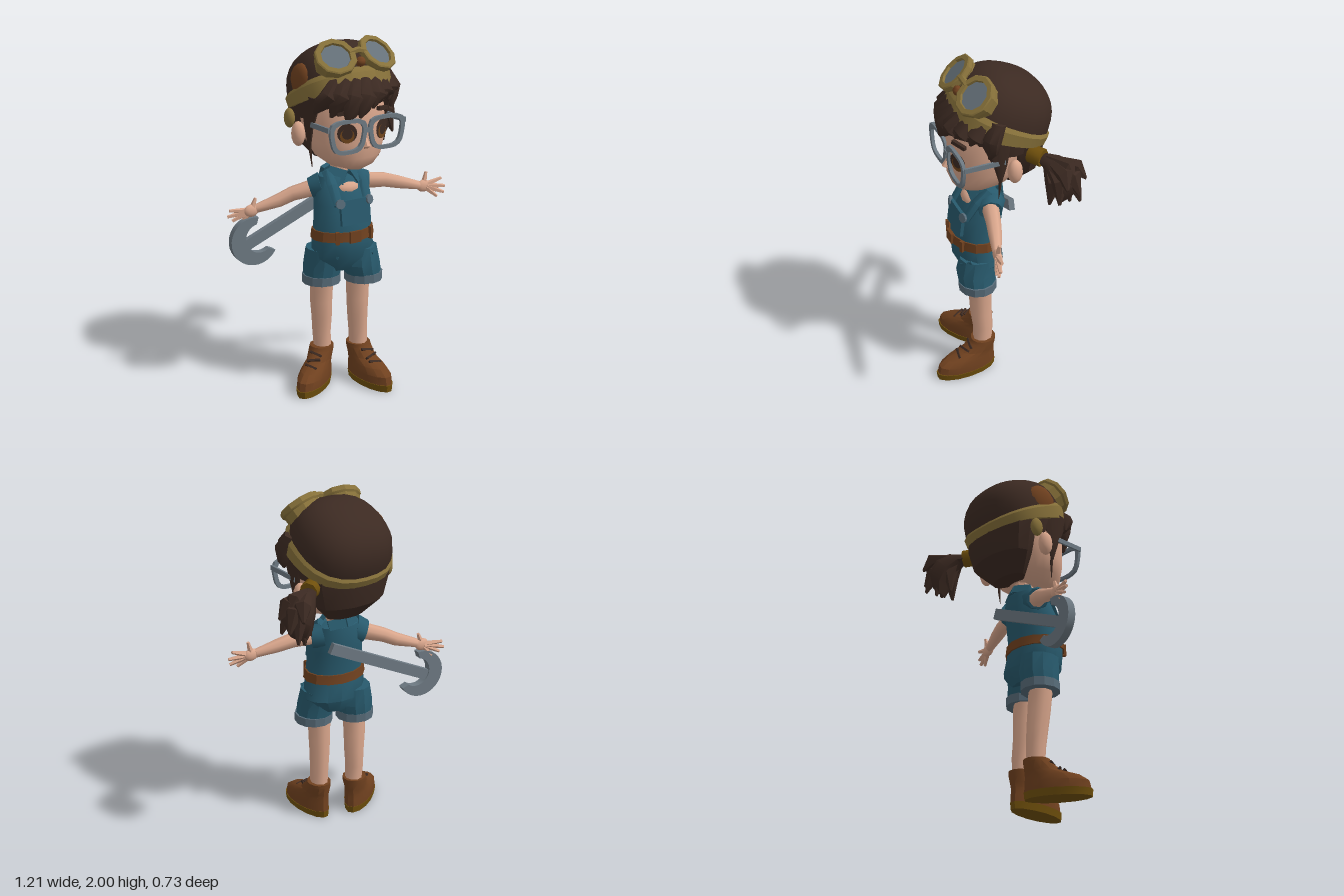
import * as THREE from 'three';
import { toCreasedNormals } from 'three/addons/utils/BufferGeometryUtils.js';

const mat = (name, color) => Object.assign(new THREE.MeshStandardMaterial({ color }), { name });
const V = (x, y, z) => new THREE.Vector3(x, y, z);

export function createModel() {
  const root = new THREE.Group();
  root.name = 'girlMechanic';
  const skin = mat('skin', 0xd9a68c), hair = mat('darkBrown', 0x3c2a22), teal = mat('denim', 0x285a6d),
    cuff = mat('paleDenim', 0x586c79), leather = mat('leather', 0x70411f), gold = mat('ochre', 0x70500c),
    olive = mat('olive', 0x87713a), metal = mat('metal', 0x6d7982), lens = mat('lensGrey', 0x66717a),
    iris = mat('eyeBrown', 0x70451c);

  const add = (name, geo, m, parent = root, crease = 0.5) => {
    const mesh = new THREE.Mesh(toCreasedNormals(geo, crease), m);
    mesh.name = name;
    parent.add(mesh);
    return mesh;
  };
  const group = (name) => { const g = new THREE.Group(); g.name = name; root.add(g); return g; };

  // Skin over rings [x, y, z, rx, rz]; rings are level, or square to the path when along is set
  const loft = (rows, n = 12, along = false) => {
    const first = V(...rows[0]), last = V(...rows[rows.length - 1]);
    const q = new THREE.Quaternion();
    if (along) q.setFromUnitVectors(V(0, 1, 0), last.clone().sub(first).normalize());
    const pos = [], idx = [];
    for (const [x, y, z, rx, rz = rx] of rows) for (let i = 0; i < n; i++) {
      const a = i / n * Math.PI * 2;
      const p = V(Math.cos(a) * rx, 0, Math.sin(a) * rz).applyQuaternion(q);
      pos.push(p.x + x, p.y + y, p.z + z);
    }
    for (let k = 0; k < rows.length - 1; k++) for (let i = 0; i < n; i++) {
      const a = k * n + i, b = k * n + (i + 1) % n;
      idx.push(a, a + n, b, b, a + n, b + n);
    }
    const c = rows.length * n;
    pos.push(first.x, first.y, first.z, last.x, last.y, last.z);
    for (let i = 0; i < n; i++) {
      const j = (i + 1) % n;
      idx.push(c, i, j, c + 1, c - n + j, c - n + i);
    }
    const g = new THREE.BufferGeometry();
    g.setAttribute('position', new THREE.Float32BufferAttribute(pos, 3));
    g.setIndex(idx);
    return g;
  };
  const limb = (name, rows, m, n = 8, crease = 0.9) => add(name, loft(rows, n, true), m, root, crease);
  const blob = (name, x, y, z, rx, ry, rz, m) =>
    add(name, new THREE.SphereGeometry(1, 12, 8).scale(rx, ry, rz).translate(x, y, z), m, root, 0.8);
  const box = (name, x, y, z, w, h, d, m, rot = [0, 0, 0], parent = root) => {
    const b = add(name, new THREE.BoxGeometry(w, h, d), m, parent);
    b.position.set(x, y, z); b.rotation.set(...rot);
    return b;
  };

  // Boots, toe along local +z
  for (const [side, x, z, turn] of [['right', -0.072, -0.045, -0.95], ['left', 0.078, 0, 0.06]]) {
    const boot = group(side + 'Boot');
    boot.position.set(x, 0, z); boot.rotation.y = turn;
    add('sole', loft([[0, 0, 0.178, 0.072, 0.184], [0, 0.04, 0.178, 0.08, 0.188]], 14), gold, boot);
    add('upper', loft([[0, 0.04, 0.176, 0.077, 0.183], [0, 0.085, 0.172, 0.079, 0.177], [0, 0.12, 0.148, 0.072, 0.15],
      [0, 0.15, 0.1, 0.066, 0.104], [0, 0.2, 0.068, 0.07, 0.078], [0, 0.22, 0.063, 0.068, 0.074]], 14), leather, boot);
    for (let i = 0; i < 3; i++)
      box('lace', 0, 0.138 + i * 0.025, 0.222 - i * 0.036, 0.075, 0.012, 0.02, hair, [-0.8, 0, i % 2 ? 0.25 : -0.25], boot);
  }

  // Legs, short legs and turn-ups
  limb('rightLeg', [[-0.115, 0.19, -0.01, 0.05, 0.052], [-0.122, 0.3, -0.012, 0.052, 0.057], [-0.125, 0.4, -0.005, 0.058, 0.062], [-0.132, 0.5, 0.002, 0.064], [-0.135, 0.66, 0.015, 0.068]], skin, 9);
  limb('leftLeg', [[0.08, 0.19, 0.065, 0.05, 0.057], [0.078, 0.3, 0.063, 0.053, 0.06], [0.07, 0.4, 0.07, 0.057, 0.065], [0.068, 0.5, 0.073, 0.063, 0.067], [0.066, 0.66, 0.08, 0.068]], skin, 9);
  for (const [side, x, z, inner] of [['right', -0.135, 0.01, 0.01], ['left', 0.09, 0.1, -0.02]]) {
    add(side + 'ShortLeg', loft([[x, 0.64, z, 0.103, 0.105], [x + inner, 0.72, z, 0.11, 0.115], [x + inner, 0.82, z + inner, 0.097, 0.115]]), teal);
    add(side + 'TurnUp', loft([[x, 0.615, z, 0.11, 0.11], [x, 0.665, z, 0.109, 0.111]]), cuff);
  }

  // Dungarees, bib, belt
  add('dungarees', loft([[-0.02, 0.7, 0.05, 0.13, 0.09], [-0.02, 0.78, 0.055, 0.19, 0.14], [-0.03, 0.88, 0.065, 0.182, 0.138],
    [-0.03, 0.95, 0.065, 0.172, 0.135], [-0.025, 1.08, 0.05, 0.162, 0.138], [-0.02, 1.17, 0.02, 0.15, 0.115],
    [-0.015, 1.23, 0.01, 0.13, 0.095], [-0.01, 1.25, 0.01, 0.08, 0.07]], 14), teal, root, 0.7);
  add('belt', loft([[-0.03, 0.888, 0.065, 0.19, 0.147], [-0.03, 0.942, 0.065, 0.182, 0.143]], 14), leather);
  box('beltBuckle', -0.04, 0.915, 0.212, 0.07, 0.065, 0.015, leather);
  for (const x of [-0.14, 0.08]) box('beltLoop', x, 0.915, 0.187, 0.02, 0.07, 0.02, leather, [0, x < 0 ? -0.4 : 0.4, 0]);
  box('bib', -0.02, 1.05, 0.18, 0.19, 0.14, 0.02, teal, [-0.12, 0, 0]);
  blob('chest', -0.02, 1.165, 0.08, 0.085, 0.05, 0.065, skin);
  for (const s of [-1, 1]) {
    const button = add('strapButton', new THREE.CylinderGeometry(0.027, 0.027, 0.015, 10), cuff);
    button.position.set(-0.02 + s * 0.095, 1.105, 0.178); button.rotation.set(1.35, 0, -s * 0.3);
    limb('strap', [[-0.02 + s * 0.095, 1.09, 0.16, 0.03, 0.02], [-0.015 + s * 0.1, 1.19, 0.1, 0.035, 0.025], [-0.01 + s * 0.09, 1.25, 0.02, 0.035, 0.03]], teal, 6);
    box('collar', -0.01 + s * 0.06, 1.235, 0.07, 0.1, 0.085, 0.025, teal, [-0.6, s * 0.5, s * 0.6]);
    box('collarBack', -0.01 + s * 0.045, 1.25, -0.055, 0.1, 0.055, 0.025, teal, [0.4, -s * 0.4, 0]);
    box('hipPocket', -0.02 + s * 0.13, 0.81, s > 0 ? 0.175 : 0.148, 0.08, 0.015, 0.012, teal, [0, s * 0.7, s * 0.5]);
  }
  limb('leftSleeve', [[0.09, 1.175, 0.02, 0.075, 0.085], [0.15, 1.165, 0.043, 0.062, 0.068]], teal, 9);
  limb('rightSleeve', [[-0.12, 1.175, -0.01, 0.075, 0.085], [-0.172, 1.155, -0.042, 0.06, 0.065]], teal, 9);

  // Arms and open hands
  const arms = [
    ['left', [[0.1, 1.175, 0.03, 0.05], [0.25, 1.165, 0.07, 0.042], [0.33, 1.145, 0.095, 0.038], [0.45, 1.115, 0.135, 0.025]],
      [0.475, 1.11, 0.143], [[0.585, 1.145, 0.165], [0.6, 1.1, 0.18], [0.59, 1.065, 0.185], [0.545, 1.045, 0.18], [0.495, 1.19, 0.14]]],
    ['right', [[-0.13, 1.165, -0.02, 0.05], [-0.26, 1.125, -0.09, 0.041], [-0.33, 1.09, -0.12, 0.038], [-0.45, 1.05, -0.165, 0.025]],
      [-0.475, 1.04, -0.175], [[-0.59, 1.045, -0.22], [-0.6, 1.01, -0.225], [-0.575, 0.985, -0.215], [-0.53, 0.965, -0.2], [-0.45, 1.11, -0.17]]]];
  for (const [side, arm, palm, tips] of arms) {
    limb(side + 'Arm', arm, skin, 8);
    blob(side + 'Palm', ...palm, 0.045, 0.036, 0.022, skin);
    for (const t of tips) limb(side + 'Finger', [[...palm, 0.02], [...t, 0.009]], skin, 5);
  }

  // Big spanner hung across the back
  const wrench = group('spanner');
  wrench.position.set(-0.465, 0.865, -0.175); wrench.rotation.set(0, -0.13, 0.443, 'YXZ');
  const jaw = new THREE.Shape();
  jaw.absarc(0, 0, 0.14, 0.95, Math.PI * 2 - 0.95, false);
  jaw.absarc(0.035, 0, 0.085, Math.PI * 2 - 1.35, 1.35, true);
  const flat = (s, d) => new THREE.ExtrudeGeometry(s, { depth: d, bevelEnabled: false, curveSegments: 12 }).translate(0, 0, -d / 2);
  add('spannerJaw', flat(jaw, 0.045), metal, wrench);
  box('spannerHandle', 0.28, 0, 0, 0.72, 0.062, 0.032, metal, [0, 0, 0], wrench);

  // Neck, head, ears, nose
  add('neck', loft([[-0.01, 1.18, 0.01, 0.065, 0.06], [0, 1.34, 0.01, 0.055, 0.06]], 10), skin);
  add('head', loft([[0.01, 1.283, 0.1, 0.05, 0.07], [0.01, 1.31, 0.085, 0.13, 0.125], [0.01, 1.36, 0.055, 0.19, 0.175],
    [0.01, 1.44, 0.025, 0.224, 0.212], [0.01, 1.55, 0.003, 0.235, 0.236], [0.01, 1.68, -0.02, 0.235, 0.25], [0.01, 1.8, -0.03, 0.2, 0.2]], 24), skin, root, 0.9);
  for (const s of [-1, 1]) blob('ear', 0.013 + s * 0.258, 1.475, -0.045, 0.038, 0.07, 0.042, skin);
  limb('nose', [[0.01, 1.485, 0.222, 0.01], [0.01, 1.43, 0.25, 0.021], [0.01, 1.415, 0.235, 0.012]], skin, 6);

  // Eyes and brows
  for (const s of [-1, 1]) {
    const eye = group('eye');
    eye.position.set(0.01 + s * 0.112, 1.51, 0.222); eye.rotation.y = s * 0.42;
    add('lashes', new THREE.CircleGeometry(1, 16).scale(0.055, 0.054, 1), hair, eye);
    add('iris', new THREE.CircleGeometry(1, 14).scale(0.04, 0.04, 1).translate(0, -0.014, 0.004), iris, eye);
    add('pupil', new THREE.CircleGeometry(0.03, 12).translate(0, -0.002, 0.007), hair, eye);
    box('brow', 0.01 + s * 0.12, 1.622, 0.217, 0.09, 0.022, 0.02, hair, [0, s * 0.45, -s * 0.12]);
  }

  // Glasses
  const outline = (target, k) => {
    for (let i = 0; i < 24; i++) {
      const a = i / 24 * Math.PI * 2, c = Math.cos(a), d = Math.sin(a);
      const r = k / Math.pow(Math.abs(c) ** 3.5 + Math.abs(d) ** 3.5, 1 / 3.5);
      target[i ? 'lineTo' : 'moveTo'](c * r * (0.115 + 0.018 * d), d * r * 0.095);
    }
    target.closePath();
    return target;
  };
  for (const s of [-1, 1]) {
    const rim = outline(new THREE.Shape(), 1);
    rim.holes.push(outline(new THREE.Path(), 0.78));
    add('glassesRim', flat(rim, 0.018), metal).position.set(0.017 + s * 0.125, 1.495, 0.24);
    box('glassesTemple', 0.017 + s * 0.248, 1.545, 0.125, 0.012, 0.028, 0.235, metal);
  }
  box('glassesBridge', 0.017, 1.52, 0.244, 0.04, 0.024, 0.018, metal);

  // Hair: back, sides, fringe, sideburns
  add('backHair', loft([[0.01, 1.32, -0.095, 0.12, 0.06], [0.015, 1.42, -0.14, 0.215, 0.115], [0.02, 1.55, -0.145, 0.248, 0.145], [0.02, 1.68, -0.14, 0.255, 0.16]], 14), hair);
  add('sideHair', loft([[0.018, 1.56, -0.05, 0.243, 0.235], [0.018, 1.66, -0.04, 0.262, 0.25], [0.02, 1.77, -0.05, 0.255, 0.22]], 16), hair);
  blob('fringeBase', 0.015, 1.705, 0.06, 0.262, 0.1, 0.215, hair);
  const tips = [[-0.245, 1.615], [-0.18, 1.6], [-0.11, 1.572], [-0.04, 1.595], [0.04, 1.64], [0.12, 1.665], [0.2, 1.65], [0.275, 1.59]];
  const front = (x) => 0.275 - 2.3 * (x - 0.01) ** 2;
  for (const [x, y] of tips) {
    const low = x * 0.96 + 0.015, mid = x * 0.85 + 0.035, top = x * 0.7 + 0.06;
    limb('fringeLock', [[x, y, front(x) - 0.01, 0.008], [low, y + 0.045, front(low) - 0.018, 0.045, 0.028], [mid, 1.7, front(mid) - 0.03, 0.07, 0.05], [top, 1.785, front(top) - 0.095, 0.05, 0.04]], hair, 8);
  }
  for (const s of [-1, 1]) {
    limb('sideburn', [[0.015 + s * 0.235, 1.41, 0.03, 0.008], [0.015 + s * 0.24, 1.52, 0.03, 0.018, 0.04], [0.015 + s * 0.235, 1.7, 0.05, 0.03, 0.1]], hair, 7);
    limb('wisp', [[0.015 + s * 0.222, 1.3, 0.035, 0.002], [0.015 + s * 0.228, 1.38, 0.03, 0.008], [0.015 + s * 0.235, 1.5, 0.03, 0.01]], hair, 5);
  }

  // Cap, tilted back, with an olive rim that widens forward; both slightly squared off
  const cap = group('cap');
  cap.position.set(0.02, 1.685, -0.045); cap.rotation.x = -0.42;
  const squared = (geo, axes, widen) => {
    const p = geo.attributes.position, v = new THREE.Vector3();
    for (let i = 0; i < p.count; i++) {
      v.fromBufferAttribute(p, i);
      const y = axes === 3 ? v.y : 0, len = Math.hypot(v.x, y, v.z);
      const norm = Math.pow(Math.abs(v.x) ** 2.5 + Math.abs(y) ** 2.5 + Math.abs(v.z) ** 2.5, 0.4);
      const k = norm > 1e-6 ? len / norm : 1;
      p.setXYZ(i, v.x * k, axes === 3 ? v.y * k : v.y * (1 + widen * (v.z + 1) / 2), v.z * k);
    }
    return geo.scale(0.27, 0.27, 0.27);
  };
  add('capCrown', squared(new THREE.SphereGeometry(1, 24, 10, 0, Math.PI * 2, 0, Math.PI / 2), 3, 0), hair, cap, 0.9);
  const rimProfile = [[0.93, -0.1], [1.03, -0.1], [1.045, 0.06], [0.985, 0.12]].map(p => new THREE.Vector2(...p));
  add('capRim', squared(new THREE.LatheGeometry(rimProfile, 24), 2, 1.1), olive, cap);
  blob('leatherPatch', -0.213, 1.76, -0.05, 0.045, 0.1, 0.1, leather);
  blob('strapEnd', -0.255, 1.55, -0.12, 0.028, 0.055, 0.04, olive);

  // Goggles on the cap
  const eyepiece = [[0.1, -0.13], [0.108, -0.04], [0.117, -0.03], [0.117, -0.005], [0.11, 0], [0.084, 0], [0.08, -0.02]].map(p => new THREE.Vector2(...p));
  for (const s of [-1, 1]) {
    const goggle = group('goggle');
    goggle.position.set(0.017 + s * 0.137, 1.92, 0.142);
    goggle.lookAt(goggle.position.clone().add(V(s * 0.2, 0.73, 0.67)));
    add('eyepiece', new THREE.LatheGeometry(eyepiece, 10).rotateX(Math.PI / 2), olive, goggle);
    add('goggleLens', new THREE.CircleGeometry(0.084, 10).rotateZ(-Math.PI / 2).translate(0, 0, -0.014), lens, goggle);
  }
  limb('goggleBridge', [[-0.04, 1.925, 0.14, 0.018], [0.015, 1.94, 0.145, 0.018], [0.07, 1.925, 0.14, 0.018]], olive, 6);
  blob('nosePad', 0.015, 1.88, 0.175, 0.028, 0.028, 0.025, leather);

  // Ponytail
  limb('hairTie', [[0.25, 1.555, -0.14, 0.05], [0.315, 1.55, -0.185, 0.05]], gold, 8);
  limb('ponytailCore', [[0.28, 1.55, -0.17, 0.03], [0.35, 1.545, -0.215, 0.055], [0.41, 1.5, -0.25, 0.085], [0.445, 1.42, -0.27, 0.085], [0.44, 1.35, -0.27, 0.05]], hair, 8);
  const ends = [[0.53, 1.46, -0.23], [0.52, 1.4, -0.31], [0.48, 1.34, -0.33], [0.42, 1.31, -0.3], [0.35, 1.33, -0.25], [0.42, 1.32, -0.18], [0.47, 1.47, -0.365], [0.5, 1.36, -0.2], [0.5, 1.51, -0.28]];
  for (const [x, y, z] of ends)
    limb('ponytailLock', [[x, y, z, 0.008], [x * 0.6 + 0.165, y * 0.5 + 0.8, z * 0.65 - 0.085, 0.048], [0.33, 1.555, -0.2, 0.025]], hair, 6, 0.5);

  return root;
}
